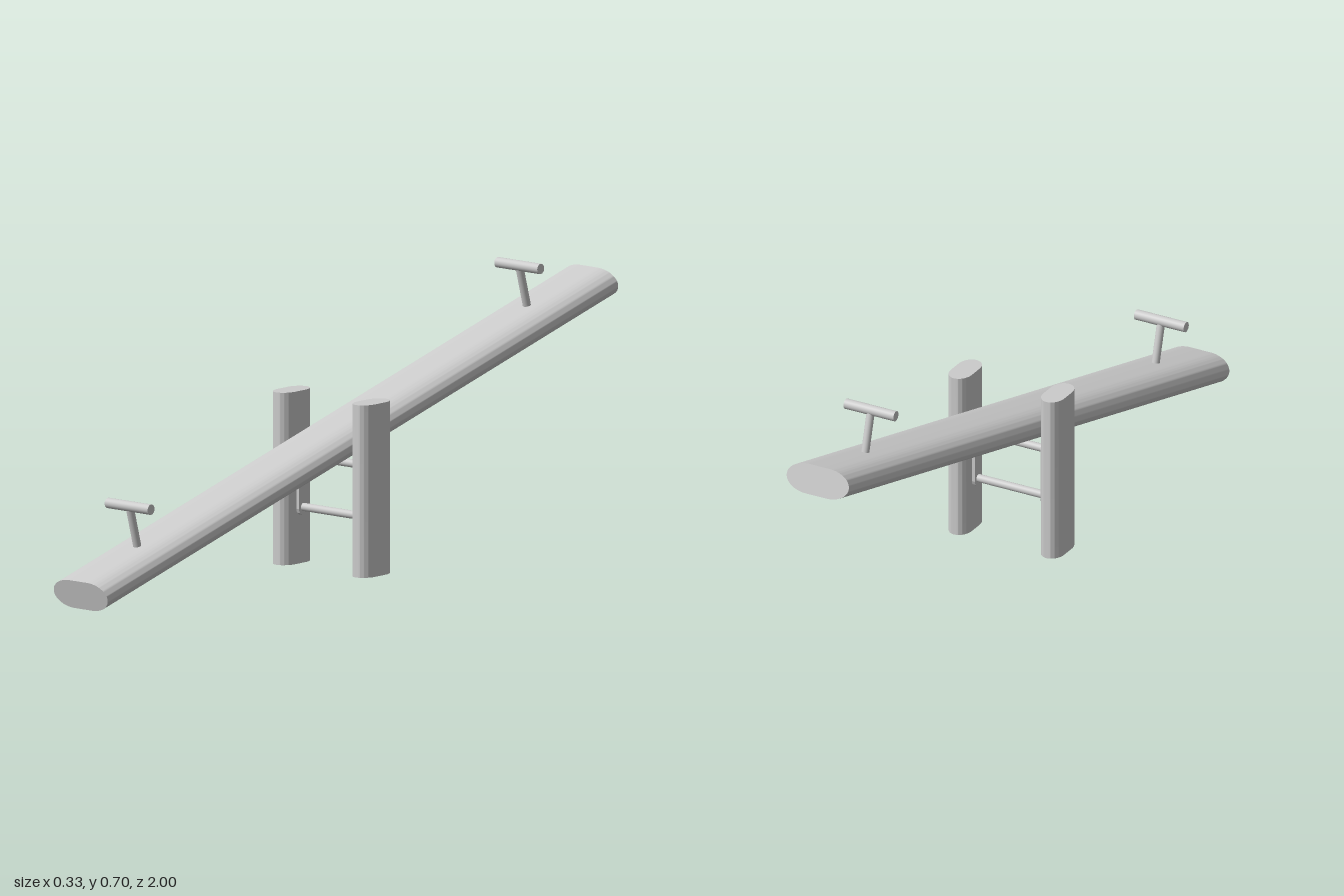
import * as THREE from 'three';
import { toCreasedNormals } from 'three/addons/utils/BufferGeometryUtils.js';

const material = new THREE.MeshStandardMaterial({ color: 0xcccccc });

function part(name, geometry, x = 0, y = 0, z = 0) {
  const mesh = new THREE.Mesh(geometry, material);
  mesh.name = name;
  mesh.position.set(x, y, z);
  return mesh;
}

// Bar along z: a flattened section with rounded sides.
// w, h: half width and half height; rx, ry: radii of the corner curves.
function roundedBar(w, h, rx, ry, length) {
  const a = w - rx, b = h - ry, q = Math.PI / 2;
  const shape = new THREE.Shape();
  shape.moveTo(w, b);
  [[a, b], [-a, b], [-a, -b], [a, -b]].forEach(([cx, cy], i) =>
    shape.absellipse(cx, cy, rx, ry, i * q, (i + 1) * q, false));
  shape.closePath();
  const geometry = new THREE.ExtrudeGeometry(shape, { depth: length, bevelEnabled: false, curveSegments: 12 });
  geometry.translate(0, 0, -length / 2);
  return toCreasedNormals(geometry, 0.6);
}

function rodX(radius, length) {
  return new THREE.CylinderGeometry(radius, radius, length, 24).rotateZ(Math.PI / 2);
}

export function createModel() {
  const model = new THREE.Group();
  model.name = 'seesaw';

  // Tilted plank with its two handles
  const beam = new THREE.Group();
  beam.name = 'beam';
  beam.position.y = 0.336;
  beam.rotation.x = 0.269;
  beam.add(part('plank', roundedBar(0.091, 0.039, 0.061, 0.039, 2.052)));
  for (const z of [0.793, -0.773]) {
    const handle = new THREE.Group();
    handle.name = 'handle';
    handle.position.set(0.004, 0, z);
    handle.add(part('handleStem', new THREE.CylinderGeometry(0.0105, 0.0105, 0.117, 24), 0, 0.0915));
    handle.add(part('handleGrip', rodX(0.0135, 0.146), 0, 0.15));
    beam.add(handle);
  }
  model.add(beam);

  // Posts and the mounting plates on their inner faces
  for (const side of [1, -1]) {
    const post = roundedBar(0.0305, 0.059, 0.0305, 0.039, 0.448).rotateX(-Math.PI / 2);
    model.add(part('post', post, side * 0.1355, 0.224, 0.018));
    const plate = roundedBar(0.018, 0.087, 0.018, 0.018, 0.012).rotateY(Math.PI / 2);
    model.add(part('mountingPlate', plate, side * 0.102, 0.213, 0.016));
  }

  // Cross rods joining the plates
  for (const y of [0.28, 0.147]) {
    model.add(part('crossRod', rodX(0.0105, 0.2), 0, y, 0.016));
  }
  return model;
}
